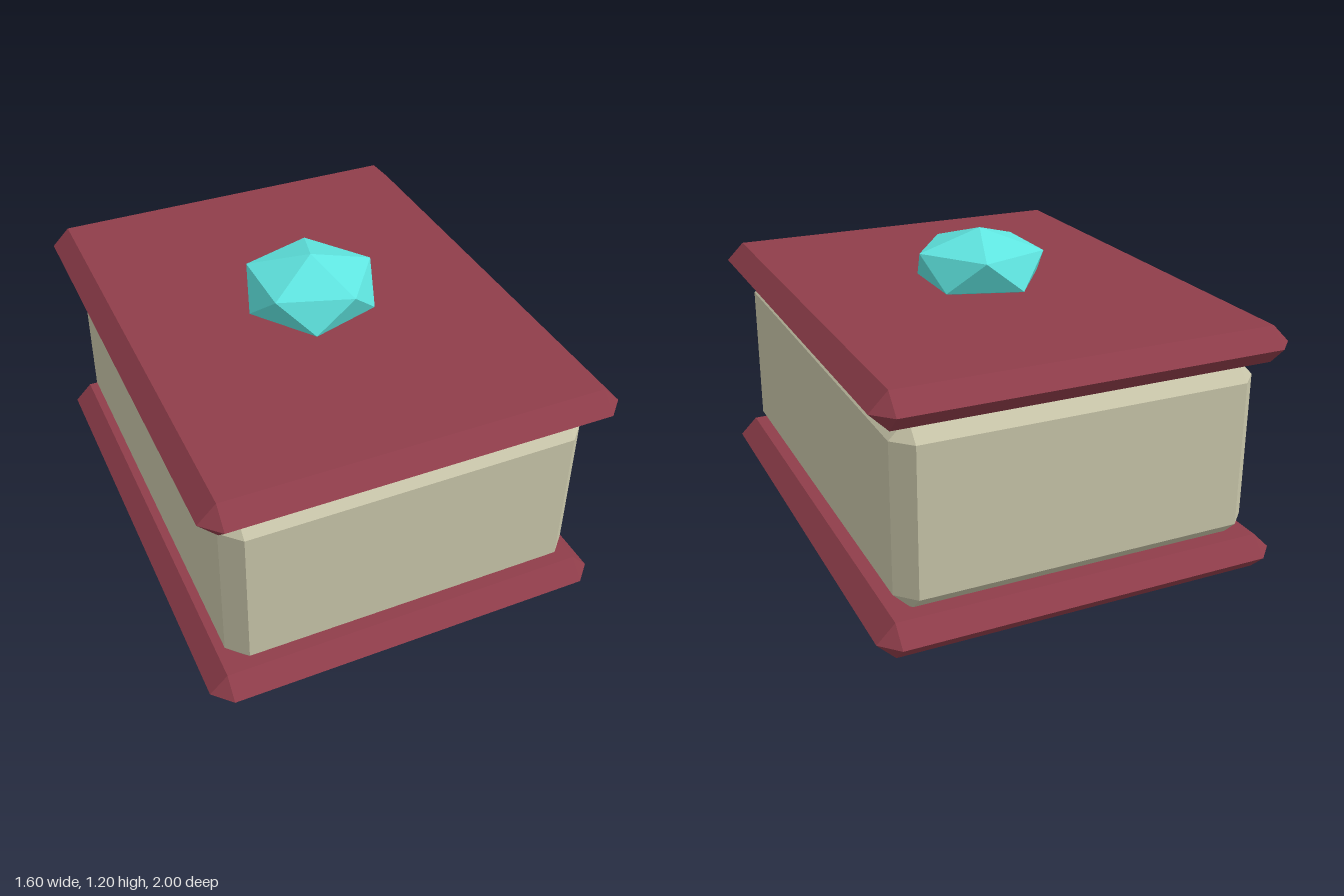
import * as THREE from 'three';
import { ConvexGeometry } from 'three/addons/geometries/ConvexGeometry.js';

const material = (color) => new THREE.MeshStandardMaterial({ color, flatShading: true });

// Box with chamfered edges and triangular corners; x, y, z are half sizes.
function chamferedBox(x, y, z, b) {
  const points = [];
  for (const sx of [-1, 1]) for (const sy of [-1, 1]) for (const sz of [-1, 1]) {
    points.push(
      new THREE.Vector3(sx * (x - b), sy * y, sz * (z - b)),
      new THREE.Vector3(sx * x, sy * (y - b), sz * (z - b)),
      new THREE.Vector3(sx * (x - b), sy * (y - b), sz * z)
    );
  }
  return new ConvexGeometry(points);
}

// Twenty-sided gem: two opposed five-point rings between two tips.
function gemGeometry(radius, ringY, tipY) {
  const points = [new THREE.Vector3(0, tipY, 0), new THREE.Vector3(0, -tipY, 0)];
  for (let i = 0; i < 5; i++) {
    const a = (i * 2 * Math.PI) / 5;
    const x = radius * Math.cos(a), z = radius * Math.sin(a);
    points.push(new THREE.Vector3(x, ringY, z), new THREE.Vector3(-x, -ringY, -z));
  }
  return new ConvexGeometry(points);
}

export function createModel() {
  const group = new THREE.Group();
  const add = (name, geometry, mat, y) => {
    const mesh = new THREE.Mesh(geometry, mat);
    mesh.name = name;
    mesh.position.y = y;
    group.add(mesh);
  };

  const red = material(0x8f3d4a);

  // Base and lid slabs, bevelled to a ridge at mid height
  const slab = chamferedBox(0.8, 0.07, 1, 0.07);
  add('base', slab, red, 0.07);
  add('lid', slab, red, 0.915);

  // Box body between the slabs
  add('body', chamferedBox(0.71, 0.3575, 0.925, 0.07), material(0xc8c5a9), 0.4875);

  // Gem knob, its lower tip sunk into the lid
  add('gemKnob', gemGeometry(0.255, 0.0635, 0.142), material(0x5fe5e0), 1.058);

  return group;
}
